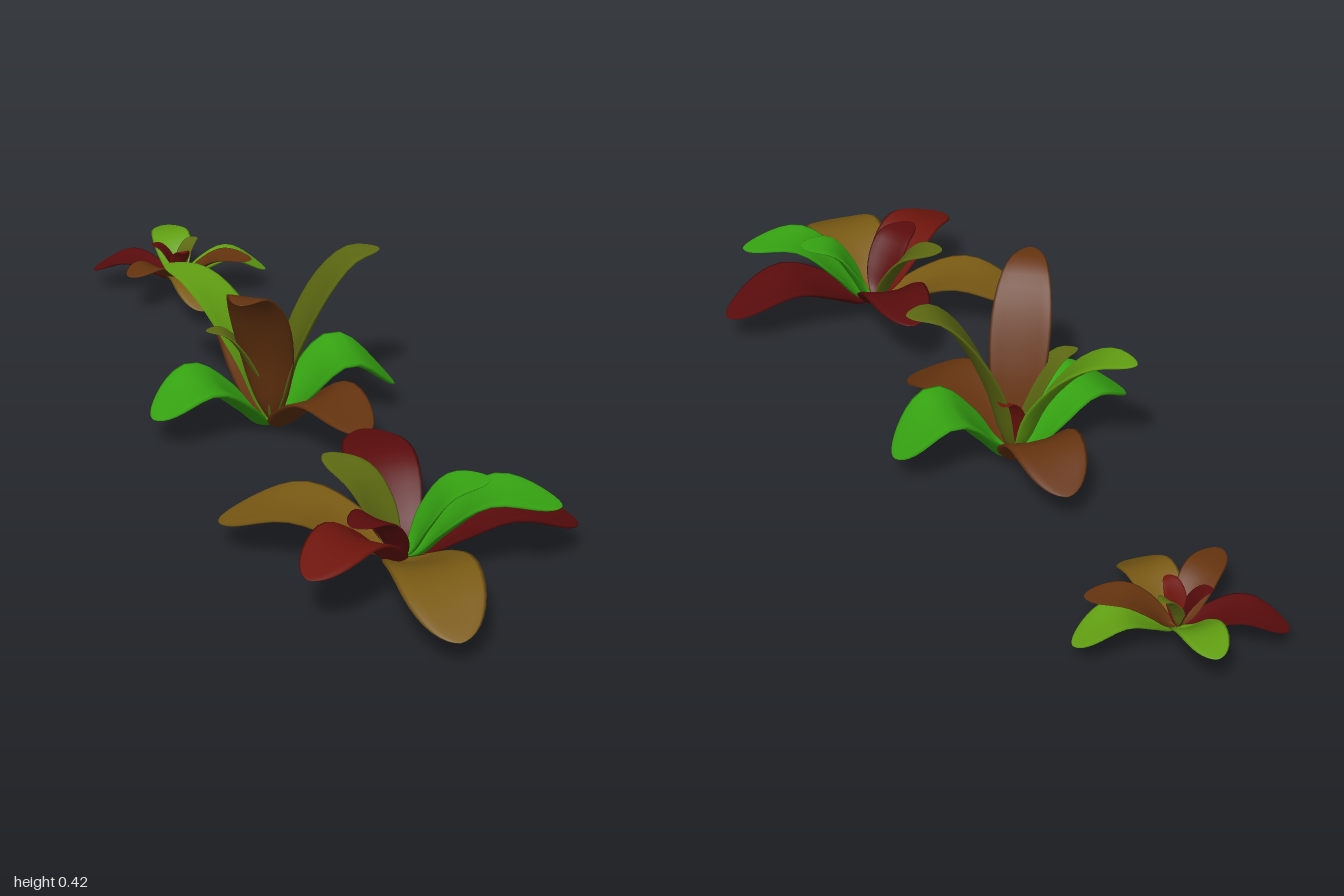
import * as THREE from 'three';

const GREEN = 0x36a512, LIME = 0x62a012, OLIVE = 0x5e6a12, ORANGE = 0x7a5a14, RED = 0x6e150c, DARKRED = 0x5a0c0c, BROWN = 0x66340f;

// Height along the leaf: [share of reach, share of rise]
const ARCH = [[0.13, 0.12], [0.31, 0.55], [0.58, 1]];
const TALL = [[0.11, 0.16], [0.24, 0.46], [0.52, 0.82], [0.75, 0.97]];

// Each leaf: [name, tip x, tip y, tip z, peak y, width, color, profile]
const PLANTS = [
  {
    name: 'frontPlant', base: [-0.03, 0.055, 0.63], leaves: [
      ['frontLeaf', -0.07, 0.085, 1.0, 0.135, 0.18, ORANGE, ARCH],
      ['leftLeaf', 0.345, 0.085, 0.68, 0.14, 0.17, DARKRED, ARCH],
      ['rightBackLeaf', -0.345, 0.085, 0.40, 0.135, 0.17, ORANGE, ARCH],
      ['backLeaf', 0.02, 0.175, 0.30, 0.175, 0.155, DARKRED, ARCH],
      ['rightFrontLeaf', -0.30, 0.155, 0.79, 0.175, 0.15, RED, ARCH],
      ['leftFrontLeaf', 0.25, 0.20, 0.785, 0.215, 0.14, GREEN, ARCH],
      ['innerRightLeaf', -0.175, 0.20, 0.71, 0.185, 0.10, DARKRED, ARCH],
      ['innerBackLeaf', -0.145, 0.24, 0.48, 0.21, 0.11, OLIVE, ARCH],
      ['innerLeftLeaf', 0.14, 0.23, 0.68, 0.21, 0.11, GREEN, ARCH],
    ],
  },
  {
    name: 'middlePlant', base: [-0.05, 0.015, -0.07], leaves: [
      ['backLeaf', -0.02, 0.105, -0.375, 0.15, 0.17, BROWN, ARCH],
      ['frontLeaf', 0.07, 0.105, 0.21, 0.14, 0.17, BROWN, ARCH],
      ['leftLeaf', 0.24, 0.085, -0.04, 0.17, 0.18, GREEN, ARCH],
      ['rightLeaf', -0.345, 0.095, -0.05, 0.15, 0.18, GREEN, ARCH],
      ['tallBackLeaf', -0.22, 0.345, -0.31, 0.345, 0.13, LIME, TALL],
      ['tallFrontLeaf', -0.195, 0.425, 0.12, 0.425, 0.14, BROWN, TALL],
      ['tallLeftLeaf', 0.195, 0.435, -0.03, 0.435, 0.14, OLIVE, TALL],
      ['innerRightLeaf', -0.20, 0.27, -0.09, 0.27, 0.08, OLIVE, TALL],
      ['innerBackLeaf', 0.01, 0.20, -0.13, 0.20, 0.07, RED, TALL],
    ],
  },
  {
    name: 'backPlant', base: [-0.03, 0.06, -0.81], leaves: [
      ['backLeaf', 0.0, 0.13, -1.0, 0.13, 0.10, LIME, ARCH],
      ['leftLeaf', 0.195, 0.07, -0.77, 0.115, 0.10, LIME, ARCH],
      ['frontLeaf', -0.04, 0.07, -0.585, 0.11, 0.11, ORANGE, ARCH],
      ['rightBackLeaf', -0.22, 0.07, -0.93, 0.105, 0.10, DARKRED, ARCH],
      ['leftFrontLeaf', 0.135, 0.13, -0.71, 0.13, 0.085, BROWN, ARCH],
      ['rightFrontLeaf', -0.19, 0.135, -0.71, 0.13, 0.085, BROWN, ARCH],
      ['innerRightLeaf', -0.09, 0.155, -0.84, 0.155, 0.05, DARKRED, TALL],
      ['innerLeftLeaf', 0.03, 0.16, -0.83, 0.16, 0.05, OLIVE, TALL],
      ['innerFrontLeaf', -0.03, 0.155, -0.755, 0.155, 0.05, RED, TALL],
    ],
  },
];

// Fleshy leaf: cupped oval sections swept along an arching spine
function leafGeometry(base, tip, peak, width, profile) {
  const rows = 22, sides = 14;
  const dir = new THREE.Vector3(tip.x - base.x, 0, tip.z - base.z);
  const side = new THREE.Vector3(0, 1, 0).cross(dir).normalize();
  const spine = new THREE.CatmullRomCurve3([
    base,
    ...profile.map(([r, h]) => base.clone().addScaledVector(dir, r).setY(base.y + (peak - base.y) * h)),
    tip,
  ]);
  const positions = [], index = [];
  for (let i = 0; i <= rows; i++) {
    const t = (1 - Math.cos(Math.PI * i / rows)) / 2;
    const s = t < 0.58 ? Math.sin(Math.PI / 2 * t / 0.58) ** 0.6 : Math.max(0, 1 - ((t - 0.58) / 0.42) ** 2) ** 0.55;
    const half = Math.max(0.0005, width / 2 * s);
    const up = spine.getTangentAt(t).cross(side).normalize();
    const center = spine.getPointAt(t);
    const cup = 0.4 * (1 - t) + 0.05;
    for (let j = 0; j < sides; j++) {
      const a = j / sides * Math.PI * 2, c = Math.cos(a);
      const p = center.clone().addScaledVector(side, c * half)
        .addScaledVector(up, half * (0.13 * Math.sin(a) + cup * c * c));
      positions.push(p.x, p.y, p.z);
      if (i < rows) {
        const k = (j + 1) % sides, r = i * sides, n = r + sides;
        index.push(r + j, r + k, n + j, r + k, n + k, n + j);
      }
    }
  }
  const geometry = new THREE.BufferGeometry();
  geometry.setAttribute('position', new THREE.Float32BufferAttribute(positions, 3));
  geometry.setIndex(index);
  geometry.computeVertexNormals();
  return geometry;
}

export function createModel() {
  const model = new THREE.Group();
  model.name = 'rosettePlants';
  for (const { name, base, leaves } of PLANTS) {
    const plant = new THREE.Group();
    plant.name = name;
    for (const [leafName, x, y, z, peak, width, color, profile] of leaves) {
      const geometry = leafGeometry(new THREE.Vector3(...base), new THREE.Vector3(x, y, z), peak, width, profile);
      const leaf = new THREE.Mesh(geometry, new THREE.MeshStandardMaterial({ color }));
      leaf.name = leafName;
      plant.add(leaf);
    }
    model.add(plant);
  }
  return model;
}
